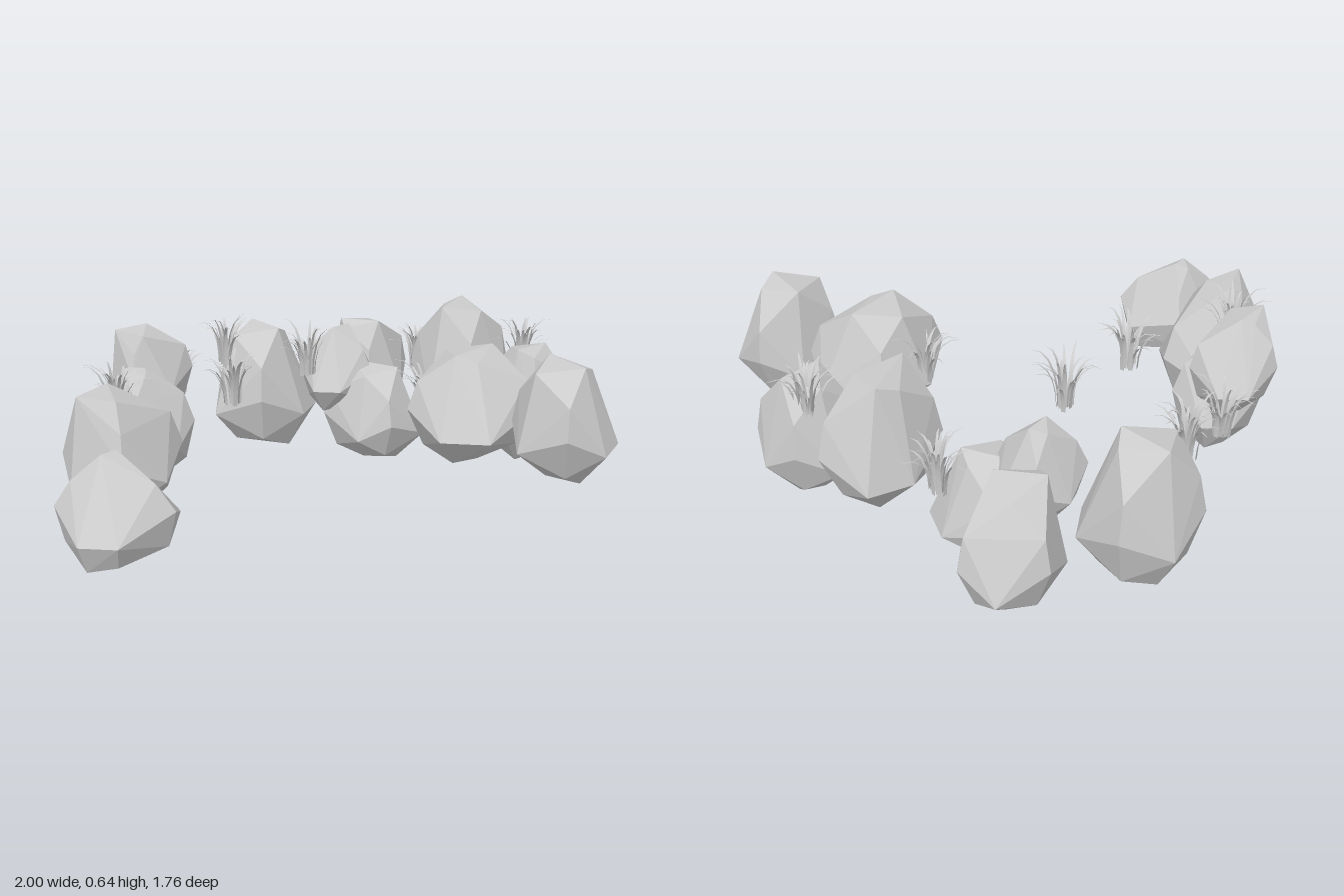
import * as THREE from 'three';
import { mergeGeometries } from 'three/addons/utils/BufferGeometryUtils.js';
import { ConvexGeometry } from 'three/addons/geometries/ConvexGeometry.js';

const stone = new THREE.MeshStandardMaterial({ color: 0xcccccc, flatShading: true });
const blade = new THREE.MeshStandardMaterial({ color: 0xcccccc, side: THREE.DoubleSide });

// Each rock: x range, z range, y range, angle of its first corner,
// crown offset in x and z, crown size and foot size relative to the waist
const ROCKS = [
  [-1.00, -0.61, -0.42, -0.05, 0.10, 0.43, 3.1, 0.01, -0.03, 0.15, 0.8],
  [-0.73, -0.32, -0.68, -0.32, 0.08, 0.52, -0.4, -0.07, -0.02, 0.4, 0.5],
  [-0.40, -0.08, -0.79, -0.49, 0.10, 0.50, 0, -0.04, -0.02, 0.3, 0.6],
  [-0.30, 0.00, -0.86, -0.58, 0.31, 0.62, 0, -0.07, -0.01, 0.45, 0.6],
  [0.21, 0.64, -0.86, -0.48, 0.02, 0.50, 1.6, -0.01, -0.02, 0.5, 0.6],
  [0.65, 1.00, -0.61, -0.29, 0.08, 0.49, -2.1, -0.05, 0, 0.5, 0.4],
  [0.36, 0.70, -0.52, -0.25, 0.20, 0.52, 3.1, 0.02, -0.01, 0.25, 0.6],
  [0.40, 0.73, -0.45, -0.05, 0.01, 0.38, 1.2, 0, 0, 0.5, 0.5],
  [0.49, 0.91, -0.10, 0.24, 0.20, 0.65, -0.5, 0, -0.02, 0.5, 0.4],
  [0.54, 0.84, 0.20, 0.52, 0.11, 0.54, 3.1, 0, 0, 0.5, 0.35],
  [0.07, 0.53, 0.15, 0.56, 0.24, 0.61, 3, 0.02, -0.02, 0.45, 0.5],
  [0.18, 0.56, 0.54, 0.87, 0.21, 0.62, 1.7, -0.02, -0.02, 0.55, 0.4],
];

// Grass tuft roots [x, y, z]
const TUFTS = [
  [-0.43, 0.37, -0.61], [0.03, 0.30, -0.77], [-0.09, 0.37, -0.38], [0.28, 0.36, -0.75],
  [0.27, 0.40, -0.33], [0.76, 0.33, -0.17], [0.30, 0.35, 0.18], [0.76, 0.43, 0.30],
];

function seeded(seed) {
  let s = seed;
  return () => ((s = (s * 16807) % 2147483647) / 2147483647);
}

// Seven-cornered outline, uneven in spacing, stretched to fill -1..1 both ways
function makeOutline(phase, rnd) {
  const outline = [];
  for (let i = 0; i < 7; i++) {
    const a = phase + ((i + (rnd() - 0.5) * 0.4) / 7) * Math.PI * 2;
    outline.push(new THREE.Vector2(Math.cos(a), Math.sin(a)));
  }
  const box = new THREE.Box2().setFromPoints(outline);
  const centre = box.getCenter(new THREE.Vector2());
  const half = box.getSize(new THREE.Vector2()).multiplyScalar(0.5);
  return outline.map((p) => p.sub(centre).divide(half));
}

// Faceted boulder: hull of the waist outline shrunk towards the crown and foot
function makeRock([x0, x1, z0, z1, y0, y1, phase, crownX, crownZ, crown, foot], seed) {
  const rnd = seeded(seed * 6271 + 37);
  const points = [];
  const add = (p, scale, h, dx = 0, dz = 0) => points.push(new THREE.Vector3(
    (x0 + x1) / 2 + (p.x * scale * (x1 - x0)) / 2 + dx,
    THREE.MathUtils.lerp(y0, y1, h),
    (z0 + z1) / 2 + (p.y * scale * (z1 - z0)) / 2 + dz,
  ));
  makeOutline(phase, rnd).forEach((p, i) => {
    const odd = i % 2;
    add(p, 1, odd ? 0.48 : 0.3);
    if (odd) {
      add(p, 0.62 + crown * 0.5, 0.74);
      add(p, 0.5 + foot * 0.45, 0.12);
    } else {
      add(p, crown, i % 4 ? 0.94 : 1, crownX, crownZ);
      add(p, foot, i % 4 ? 0.06 : 0);
    }
  });
  return new THREE.Mesh(new ConvexGeometry(points), stone);
}

// One tapered ribbon that rises and then arches outwards
function makeBlade(angle, root, reach, height, width) {
  const geo = new THREE.PlaneGeometry(1, 1, 1, 5);
  const pos = geo.attributes.position;
  for (let i = 0; i < pos.count; i++) {
    const t = 0.5 - pos.getY(i);
    const w = pos.getX(i) * width * (1 - t * t * 0.95);
    const out = root + reach * t * t;
    const up = height * (1.7 * t - 0.7 * t * t * t);
    pos.setXYZ(i, out, up, w);
  }
  geo.rotateY(angle);
  geo.computeVertexNormals();
  return geo;
}

// Ring of blades with varied reach and height
function makeTuft([x, y, z], seed) {
  const rnd = seeded(seed * 7919 + 101);
  const blades = [];
  const count = 22;
  for (let i = 0; i < count; i++) {
    const angle = (i / count) * Math.PI * 2 + rnd() * 0.6;
    const reach = 0.03 + rnd() * 0.09;
    const geo = makeBlade(angle, 0.005 + rnd() * 0.025, reach, 0.11 + rnd() * 0.08, 0.015);
    blades.push(geo.translate((rnd() - 0.5) * 0.02, 0, (rnd() - 0.5) * 0.02));
  }
  const tuft = new THREE.Mesh(mergeGeometries(blades), blade);
  tuft.position.set(x, y, z);
  return tuft;
}

export function createModel() {
  const model = new THREE.Group();
  model.name = 'rockArc';

  // Boulders
  const rocks = new THREE.Group();
  rocks.name = 'rocks';
  ROCKS.forEach((spec, i) => {
    const rock = makeRock(spec, i + 1);
    rock.name = `rock${i + 1}`;
    rocks.add(rock);
  });

  // Grass growing among the boulders
  const grass = new THREE.Group();
  grass.name = 'grass';
  TUFTS.forEach((root, i) => {
    const tuft = makeTuft(root, i + 1);
    tuft.name = `grassTuft${i + 1}`;
    grass.add(tuft);
  });

  model.add(rocks, grass);
  return model;
}
